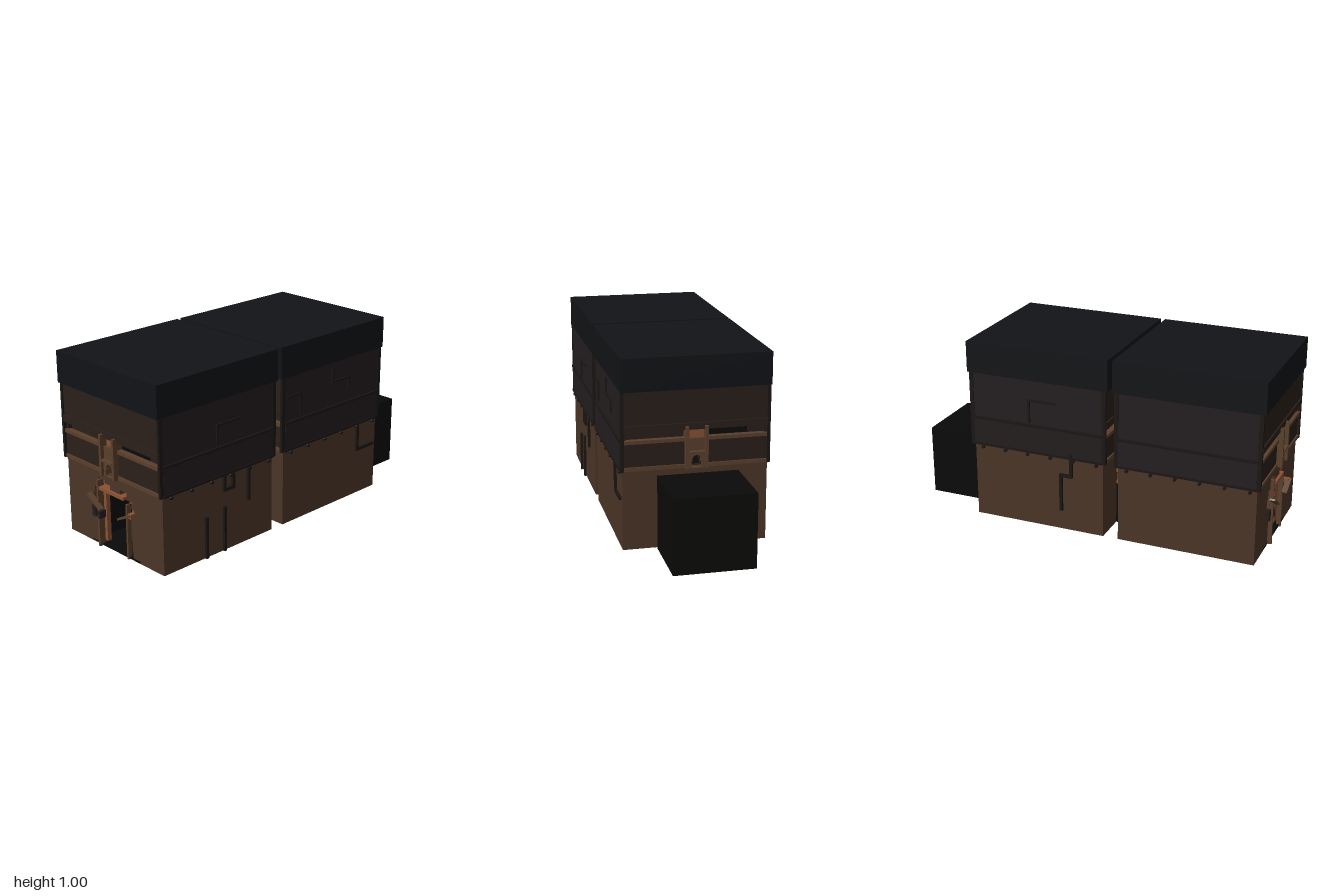
import * as THREE from 'three';

const mat = (color) => new THREE.MeshStandardMaterial({ color });
const M = {
  wall: mat(0x4c3527), upper: mat(0x2a1f1a), side: mat(0x231d1e), roof: mat(0x111316),
  dark: mat(0x0b0a09), brick: mat(0x8a5233), trim: mat(0x5a3f2c), metal: mat(0x1a1614),
};

// Box given by its min/max on each axis
function box(parent, name, x0, x1, y0, y1, z0, z1, m) {
  const mesh = new THREE.Mesh(new THREE.BoxGeometry(x1 - x0, y1 - y0, z1 - z0), m);
  mesh.position.set((x0 + x1) / 2, (y0 + y1) / 2, (z0 + z1) / 2);
  mesh.name = name;
  parent.add(mesh);
  return mesh;
}

// Flat wall with cut-out, extruded from z0 to z1
function wall(parent, name, outline, holes, z0, z1, m) {
  const shape = new THREE.Shape(outline.map(([x, y]) => new THREE.Vector2(x, y)));
  shape.holes.push(...holes);
  const geo = new THREE.ExtrudeGeometry(shape, { depth: z1 - z0, bevelEnabled: false, curveSegments: 10 });
  const mesh = new THREE.Mesh(geo, m);
  mesh.position.z = z0;
  mesh.name = name;
  parent.add(mesh);
}

const rect = (x0, x1, y0, y1) => [[x0, y0], [x1, y0], [x1, y1], [x0, y1]];

// Wall outline open at the bottom along a broken doorway
const doorWall = (w, h, door) => [[-w, 0], ...door, [w, 0], [w, h], [-w, h]];
const OUTER_DOOR = [[-0.13, 0], [-0.13, 0.16], [-0.165, 0.16], [-0.165, 0.22], [-0.175, 0.22], [-0.175, 0.28],
  [-0.155, 0.28], [-0.155, 0.32], [-0.12, 0.32], [-0.12, 0.38], [-0.075, 0.38], [-0.075, 0.36], [-0.03, 0.36],
  [-0.03, 0.33], [0.05, 0.33], [0.05, 0.36], [0.1, 0.36], [0.1, 0.32], [0.14, 0.32], [0.14, 0.28], [0.155, 0.28],
  [0.155, 0.24], [0.13, 0.24], [0.13, 0.14], [0.14, 0]];
const INNER_DOOR = [[-0.105, 0], [-0.105, 0.33], [-0.08, 0.33], [-0.08, 0.315], [0.02, 0.315], [0.02, 0.33],
  [0.085, 0.33], [0.085, 0.29], [0.1, 0.29], [0.1, 0]];

// Arched window with a widened foot
function keyhole() {
  const p = new THREE.Path();
  p.moveTo(-0.027, 0.422);
  p.lineTo(0.027, 0.422);
  p.lineTo(0.027, 0.45);
  p.lineTo(0.02, 0.455);
  p.absarc(0, 0.465, 0.022, -0.4, Math.PI + 0.4, false);
  p.lineTo(-0.027, 0.45);
  p.closePath();
  return p;
}

// Slanted plank between two points in the facade plane
function plank(parent, x0, y0, x1, y1, z) {
  const mesh = new THREE.Mesh(new THREE.BoxGeometry(Math.hypot(x1 - x0, y1 - y0), 0.01, 0.03), M.trim);
  mesh.position.set((x0 + x1) / 2, (y0 + y1) / 2, z);
  mesh.rotation.z = Math.atan2(y1 - y0, x1 - x0);
  mesh.name = 'brokenPlank';
  parent.add(mesh);
}

// One end facade, facing +z
function createFacade() {
  const g = new THREE.Group();
  g.name = 'facade';
  wall(g, 'lowerWall', doorWall(0.375, 0.42, OUTER_DOOR), [], 0.345, 0.375, M.wall);
  wall(g, 'brickLining', doorWall(0.22, 0.4, INNER_DOOR), [], 0.32, 0.345, M.brick);

  // Balcony level
  wall(g, 'backWall', rect(-0.36, 0.36, 0.42, 0.83), [keyhole()], 0.335, 0.355, M.upper);
  box(g, 'darkOpening', 0.06, 0.27, 0.58, 0.62, 0.35, 0.36, M.dark);
  for (const s of [-1, 1]) {
    const span = (name, a, b, ...rest) => box(g, name, s > 0 ? a : -b, s > 0 ? b : -a, ...rest);
    span('balconySlab', 0.052, 0.378, 0.42, 0.44, 0.34, 0.39, M.trim);
    span('balconyPanel', 0.055, 0.368, 0.44, 0.56, 0.36, 0.382, M.upper);
    span('balconyRail', 0.055, 0.375, 0.56, 0.578, 0.36, 0.39, M.trim);
    span('balconyEnd', 0.368, 0.378, 0.44, 0.66, 0.35, 0.386, M.upper);
    span('framePost', 0.042, 0.058, 0.42, 0.64, 0.34, 0.415, M.trim);
    span('gutterPipe', 0.368, 0.384, 0.42, 0.83, 0.372, 0.394, M.metal);
  }
  box(g, 'upperWall', -0.378, 0.378, 0.655, 0.83, 0.34, 0.388, M.upper);
  box(g, 'beam', -0.368, 0.368, 0.62, 0.655, 0.35, 0.396, M.upper);

  // Window bay
  wall(g, 'windowPlate', rect(-0.042, 0.042, 0.42, 0.505), [keyhole()], 0.385, 0.4, M.trim);
  box(g, 'windowHead', -0.042, 0.042, 0.505, 0.575, 0.36, 0.395, M.trim);
  box(g, 'windowSill', -0.042, 0.042, 0.5, 0.51, 0.36, 0.418, M.trim);
  box(g, 'bayPanel', -0.042, 0.042, 0.575, 0.62, 0.35, 0.375, M.brick);

  // Broken door dressing
  box(g, 'doorPost', -0.118, -0.105, 0, 0.37, 0.36, 0.395, M.trim);
  box(g, 'doorPost', 0.1, 0.112, 0, 0.3, 0.36, 0.385, M.trim);
  box(g, 'doorLintel', -0.105, 0.09, 0.318, 0.335, 0.35, 0.39, M.brick);
  box(g, 'wallBox', -0.168, -0.14, 0.155, 0.215, 0.36, 0.39, M.side);
  box(g, 'wallBox', -0.11, -0.093, 0.16, 0.2, 0.36, 0.4, M.side);
  box(g, 'lamp', 0.142, 0.166, 0.245, 0.27, 0.37, 0.405, M.brick);
  plank(g, -0.17, 0.285, -0.075, 0.22, 0.402);
  plank(g, 0.07, 0.218, 0.165, 0.265, 0.402);
  return g;
}

// Long side of a block, built on +x
function createSide() {
  const g = new THREE.Group();
  g.name = 'sideWall';
  box(g, 'lowerSide', 0.355, 0.375, 0, 0.42, -0.374, 0.374, M.wall);
  box(g, 'upperSide', 0.355, 0.38, 0.42, 0.83, -0.375, 0.375, M.side);
  box(g, 'sidePanel', 0.37, 0.386, 0.422, 0.57, -0.372, 0.372, M.side);
  box(g, 'sideRail', 0.37, 0.39, 0.57, 0.585, -0.375, 0.375, M.metal);
  box(g, 'sideLedge', 0.37, 0.39, 0.42, 0.432, -0.378, 0.378, M.metal);
  for (let i = 0; i < 6; i++) {
    const bolt = new THREE.Mesh(new THREE.CylinderGeometry(0.009, 0.009, 0.022, 8), M.metal);
    bolt.rotation.z = Math.PI / 2;
    bolt.position.set(0.379, 0.408, 0.325 - i * 0.133);
    bolt.name = 'bolt';
    g.add(bolt);
  }
  return g;
}

function createBlock(z) {
  const g = new THREE.Group();
  g.name = 'block';
  g.position.z = z;
  for (const turn of [0, Math.PI]) {
    for (const part of [createFacade(), createSide()]) {
      part.rotation.y = turn;
      g.add(part);
    }
  }
  box(g, 'roof', -0.385, 0.385, 0.83, 1, -0.405, 0.405, M.roof);
  box(g, 'floor', -0.36, 0.36, 0, 0.01, -0.345, 0.345, M.dark);
  box(g, 'deck', -0.358, 0.358, 0.405, 0.418, -0.344, 0.344, M.dark);
  return g;
}

// Right-angled pipe run on a side wall; points are [z, y]
function pipe(parent, x, points, r = 0.008) {
  for (let i = 1; i < points.length; i++) {
    const [[za, ya], [zb, yb]] = [points[i - 1], points[i]];
    box(parent, 'pipe', x - r, x + r, Math.min(ya, yb) - r, Math.max(ya, yb) + r,
      Math.min(za, zb) - r, Math.max(za, zb) + r, M.metal);
  }
}

export function createModel() {
  const model = new THREE.Group();
  model.name = 'building';
  model.add(createBlock(0.58), createBlock(-0.255));

  // Passage through both blocks
  for (const s of [-1, 1]) {
    box(model, 'passageWall', s * 0.18 - 0.01, s * 0.18 + 0.01, 0, 0.23, -0.64, 0.9, M.dark);
    for (let i = 0; i < 6; i++) {
      const w = 0.17 - (i % 3) * 0.012;
      box(model, 'brickCourse', s * w - 0.015, s * w + 0.015, 0.23 + i * 0.022, 0.25 + i * 0.022, 0.115, 0.212, M.brick);
    }
  }
  box(model, 'passageCeiling', -0.17, 0.17, 0.345, 0.36, -0.57, 0.9, M.dark);
  box(model, 'passageFloor', -0.19, 0.19, 0, 0.012, -0.64, 0.955, M.dark);

  // Closed annex behind the rear door
  box(model, 'annex', -0.22, 0.2, 0, 0.39, -1, -0.645, M.dark);

  // Pipes on the left side
  pipe(model, 0.38, [[0.675, 0.008], [0.675, 0.22]]);
  pipe(model, 0.38, [[0.55, 0.008], [0.55, 0.24]]);
  pipe(model, 0.38, [[0.55, 0.41], [0.55, 0.34], [0.49, 0.34], [0.49, 0.41]]);
  pipe(model, 0.38, [[0.38, 0.24], [0.38, 0.42]]);
  pipe(model, 0.38, [[-0.47, 0.41], [-0.47, 0.27], [-0.6, 0.27]]);
  pipe(model, 0.382, [[0.1, 0.72], [0, 0.72], [0, 0.62]], 0.006);
  pipe(model, 0.382, [[-0.25, 0.8], [-0.25, 0.72], [-0.38, 0.72], [-0.38, 0.66]], 0.006);
  pipe(model, 0.382, [[0.6, 0.6], [0.6, 0.7], [0.45, 0.7]], 0.006);
  // Pipes on the right side
  pipe(model, -0.382, [[-0.12, 0.12], [-0.12, 0.32], [-0.06, 0.32], [-0.06, 0.44]]);
  pipe(model, -0.382, [[-0.3, 0.6], [-0.3, 0.72], [-0.15, 0.72]], 0.006);
  return model;
}
